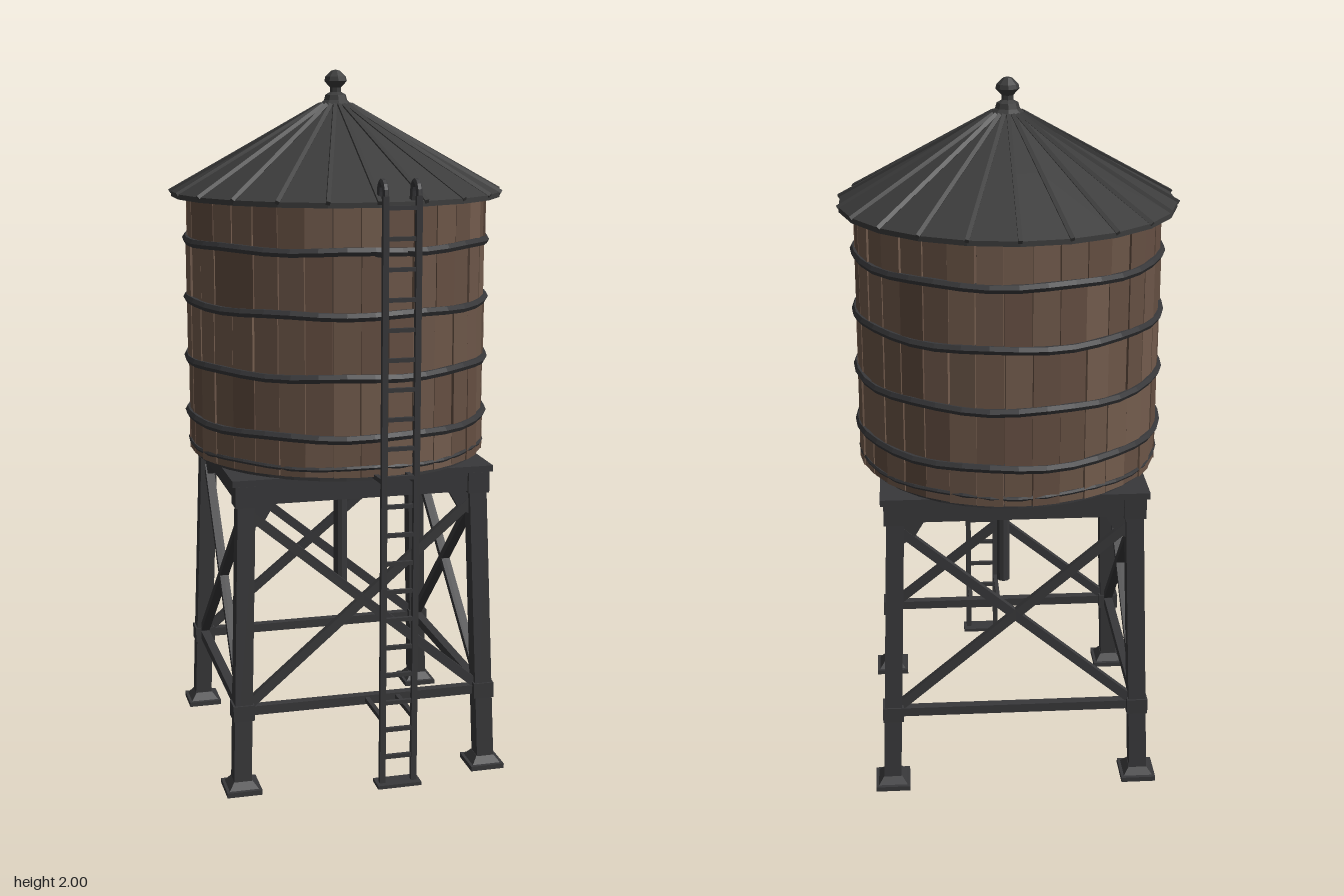
import * as THREE from 'three';
import { mergeGeometries } from 'three/addons/utils/BufferGeometryUtils.js';

const material = (name, color, extra = {}) => {
  const m = new THREE.MeshStandardMaterial({ color, flatShading: true, ...extra });
  m.name = name;
  return m;
};

export function createModel() {
  const roofMetal = material('roof metal', 0x3c3c3c, { side: THREE.DoubleSide });
  const steel = material('dark steel', 0x38383a);
  const seamDark = material('seam shadow', 0x2f2825);
  const woods = [material('brown wood', 0x6c5648), material('light brown wood', 0x735c4d), material('deep brown wood', 0x654f42)];

  const model = new THREE.Group();
  model.name = 'waterTower';
  const tower = new THREE.Group();
  tower.name = 'tower';
  tower.position.z = -0.03;
  model.add(tower);

  let seed = 7;
  const rand = () => (seed = (seed * 16807) % 2147483647) / 2147483647;
  const V = (x, y, z) => new THREE.Vector3(x, y, z);
  const add = (parent, name, geo, mat, x = 0, y = 0, z = 0) => {
    const mesh = new THREE.Mesh(geo, mat);
    mesh.name = name;
    mesh.position.set(x, y, z);
    parent.add(mesh);
    return mesh;
  };
  const box = (parent, name, w, h, d, x, y, z, mat = steel) => add(parent, name, new THREE.BoxGeometry(w, h, d), mat, x, y, z);
  const bar = (parent, name, a, b, w, d, mat = steel) => {
    const mesh = add(parent, name, new THREE.BoxGeometry(w, a.distanceTo(b), d), mat);
    mesh.position.copy(a).lerp(b, 0.5);
    mesh.quaternion.setFromUnitVectors(V(0, 1, 0), b.clone().sub(a).normalize());
    return mesh;
  };

  // Tank: dark core with slightly uneven staves in rows between the hoops
  const R = 0.428, STAVES = 36;
  add(tower, 'tankCore', new THREE.CylinderGeometry(0.414, 0.414, 0.74, STAVES), seamDark, 0, 1.29, 0);
  const rows = [0.915, 1.024, 1.188, 1.358, 1.528, 1.665];
  const parts = woods.map(() => []);
  for (let r = 0; r < rows.length - 1; r++) {
    const h = rows[r + 1] - rows[r];
    for (let i = 0; i < STAVES; i++) {
      const w = 2 * R * Math.tan(Math.PI / STAVES) * (0.93 + rand() * 0.07);
      const g = new THREE.BoxGeometry(w, h - 0.002, 0.03);
      g.rotateY((rand() - 0.5) * 0.06);
      g.translate((rand() - 0.5) * 0.003, rows[r] + h / 2, R - 0.014 + (rand() - 0.5) * 0.006);
      g.rotateY((i / STAVES) * Math.PI * 2);
      parts[Math.floor(rand() * 3)].push(g);
    }
  }
  parts.forEach((list, i) => add(tower, 'staves' + (i + 1), mergeGeometries(list), woods[i]));

  // Hoops, with small uneven dents
  const hoop = (y, radius, tube) => {
    const g = new THREE.TorusGeometry(radius, tube, 6, STAVES);
    const p = g.attributes.position;
    for (let i = 0; i < p.count; i++) {
      const a = Math.atan2(p.getY(i), p.getX(i));
      p.setZ(i, p.getZ(i) + 0.003 * Math.sin(a * 7 + y * 20));
    }
    g.rotateX(Math.PI / 2);
    add(tower, 'hoop', g, steel, 0, y, 0);
  };
  rows.slice(1, 5).forEach((y) => hoop(y, 0.43, 0.013));
  hoop(0.94, 0.428, 0.007);

  // Roof: faceted cone with raised seams
  const PANELS = 22;
  const profile = [[0.4, 1.655], [0.472, 1.648], [0.472, 1.662], [0.25, 1.785], [0.045, 1.9], [0, 1.905]];
  add(tower, 'roof', new THREE.LatheGeometry(profile.map(([x, y]) => new THREE.Vector2(x, y)), PANELS), roofMetal);
  add(tower, 'roofUnderside', new THREE.CylinderGeometry(0.45, 0.45, 0.006, PANELS), roofMetal, 0, 1.66, 0);
  for (let i = 0; i < PANELS; i++) {
    const a = (i / PANELS) * Math.PI * 2;
    const at = (r, y) => V(Math.sin(a) * r, y, Math.cos(a) * r);
    bar(tower, 'roofSeam', at(0.476, 1.661), at(0.045, 1.902), 0.011, 0.011, roofMetal);
  }

  // Finial
  const finial = [[0.05, 1.885], [0.046, 1.905], [0.034, 1.915], [0.03, 1.93], [0.016, 1.938], [0.016, 1.95], [0.033, 1.968], [0.03, 1.98], [0.012, 1.997], [0, 2]];
  add(tower, 'finial', new THREE.LatheGeometry(finial.map(([x, y]) => new THREE.Vector2(x, y)), 8), roofMetal);

  // Platform: floor, corner-to-corner deck, edge beams and joists
  add(tower, 'tankFloor', new THREE.CylinderGeometry(0.415, 0.415, 0.014, STAVES), steel, 0, 0.91, 0);
  box(tower, 'deck', 0.75, 0.018, 0.68, 0, 0.895, 0);
  for (const s of [-1, 1]) {
    box(tower, 'edgeBeam', 0.71, 0.056, 0.035, 0, 0.858, s * 0.31);
    box(tower, 'edgeBeam', 0.035, 0.056, 0.655, s * 0.338, 0.858, 0);
    box(tower, 'crossJoist', 0.67, 0.04, 0.03, 0, 0.866, s * 0.07);
  }
  for (let i = -2; i <= 2; i++) box(tower, 'joist', 0.03, 0.028, 0.6, i * 0.12, 0.874, 0);

  // Splayed legs with feet
  const legAt = (y, sx, sz) => V(sx * (0.362 - 0.033 * y), y, sz * (0.34 - 0.04 * y));
  for (const sx of [-1, 1]) for (const sz of [-1, 1]) {
    bar(tower, 'leg', legAt(0.01, sx, sz), legAt(0.88, sx, sz), 0.05, 0.05);
    box(tower, 'footPlate', 0.1, 0.014, 0.105, sx * 0.36, 0.007, sz * 0.337);
    const socket = add(tower, 'footSocket', new THREE.CylinderGeometry(0.036, 0.06, 0.022, 4), steel, sx * 0.36, 0.024, sz * 0.337);
    socket.rotation.y = Math.PI / 4;
    box(tower, 'legCollar', 0.06, 0.045, 0.06, sx * 0.354, 0.235, sz * 0.33);
    box(tower, 'legCap', 0.062, 0.06, 0.062, sx * 0.335, 0.855, sz * 0.306);
  }

  // Cross braces, ties and gussets on all four sides
  const gusset = new THREE.ExtrudeGeometry(
    new THREE.Shape([[0, 0], [0.085, 0], [0.05, -0.06], [0, -0.085]].map(([x, y]) => new THREE.Vector2(x, y))),
    { depth: 0.02, bevelEnabled: false }).translate(0, 0, -0.01);
  const sides = [[[-1, 1], [1, 1]], [[1, 1], [1, -1]], [[1, -1], [-1, -1]], [[-1, -1], [-1, 1]]];
  for (const [p, q] of sides) {
    bar(tower, 'crossBrace', legAt(0.235, ...p), legAt(0.81, ...q), 0.026, 0.02);
    bar(tower, 'crossBrace', legAt(0.235, ...q), legAt(0.81, ...p), 0.026, 0.02);
    bar(tower, 'lowerTie', legAt(0.235, ...p), legAt(0.235, ...q), 0.026, 0.026);
    for (const [from, to] of [[p, q], [q, p]]) {
      const plate = add(tower, 'gusset', gusset, steel);
      plate.position.copy(legAt(0.835, ...from));
      plate.rotation.y = Math.atan2(-(to[1] - from[1]), to[0] - from[0]);
    }
  }

  // Outlet pipe under the tank
  add(tower, 'outletPipe', new THREE.CylinderGeometry(0.02, 0.02, 0.4, 10), steel, 0.012, 0.68, 0.01);
  add(tower, 'pipeCollar', new THREE.CylinderGeometry(0.042, 0.03, 0.05, 10), steel, 0.012, 0.795, 0.01);

  // Ladder with hooked rails, rungs and standoffs
  const ladder = new THREE.Group();
  ladder.name = 'ladder';
  model.add(ladder);
  const LZ = 0.475;
  for (const x of [0.007, 0.097]) {
    bar(ladder, 'rail', V(x, 0.05, LZ), V(x, 1.68, LZ), 0.016, 0.016);
    const hook = new THREE.CatmullRomCurve3([V(x, 1.67, LZ), V(x, 1.7, LZ - 0.004), V(x, 1.716, LZ - 0.025), V(x, 1.71, LZ - 0.046), V(x, 1.665, LZ - 0.058)]);
    add(ladder, 'railHook', new THREE.TubeGeometry(hook, 10, 0.009, 6), steel);
    for (const [y, z] of [[1.528, 0.39], [0.92, 0.36], [0.242, 0.3]])
      bar(ladder, 'standoff', V(x, y, LZ), V(x, y - 0.006, z), 0.013, 0.013);
  }
  box(ladder, 'ladderFoot', 0.125, 0.01, 0.055, 0.052, 0.05, LZ - 0.003);
  for (let y = 0.13; y < 1.67; y += 0.08) box(ladder, 'rung', 0.09, 0.011, 0.011, 0.052, y, LZ);

  return model;
}
